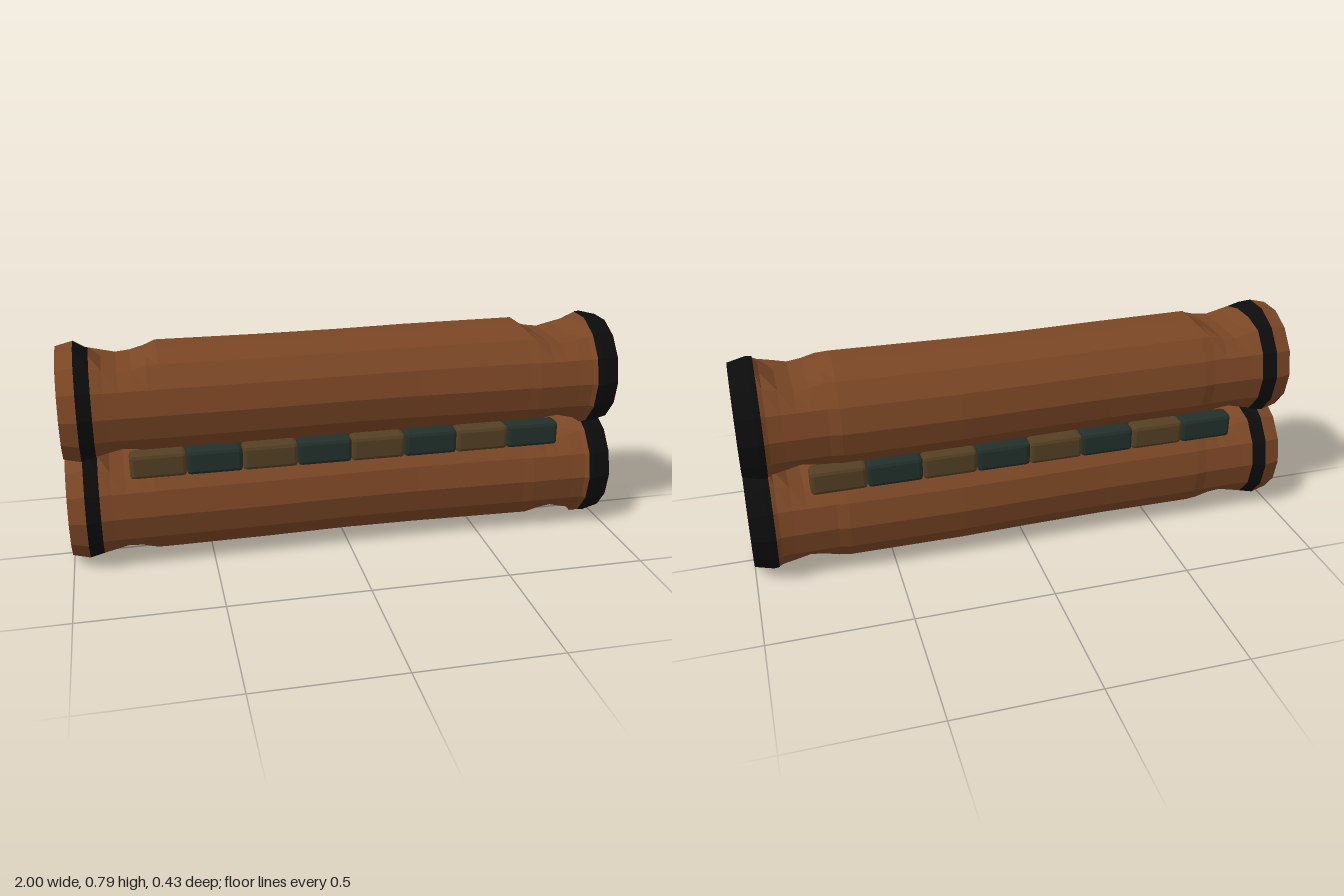
import * as THREE from 'three';
import { RoundedBoxGeometry } from 'three/addons/geometries/RoundedBoxGeometry.js';

const SIDES = 14;

// Tube along x from rings [x, radius, flat half height, z shift]; the flat height planes off top and bottom
function ringTube(rings, capStart, capEnd) {
  const pos = [], idx = [];
  for (const [x, r, h = 1, dz = 0] of rings) {
    for (let i = 0; i < SIDES; i++) {
      const a = (i / SIDES) * Math.PI * 2;
      pos.push(x, THREE.MathUtils.clamp(r * Math.sin(a), -h, h), r * Math.cos(a) + dz);
    }
  }
  for (let k = 0; k < rings.length - 1; k++) {
    for (let i = 0; i < SIDES; i++) {
      const a = k * SIDES + i, b = k * SIDES + (i + 1) % SIDES;
      idx.push(a, a + SIDES, b, b, a + SIDES, b + SIDES);
    }
  }
  const last = (rings.length - 1) * SIDES;
  for (let i = 1; i < SIDES - 1; i++) {
    if (capStart) idx.push(0, i, i + 1);
    if (capEnd) idx.push(last, last + i + 1, last + i);
  }
  const g = new THREE.BufferGeometry();
  g.setAttribute('position', new THREE.Float32BufferAttribute(pos, 3));
  g.setIndex(idx);
  // Make every face wind outwards
  const flat = g.toNonIndexed(), p = flat.attributes.position;
  const mid = (rings[0][0] + rings[rings.length - 1][0]) / 2;
  const [A, B, C, n, c] = Array.from({ length: 5 }, () => new THREE.Vector3());
  for (let i = 0; i < p.count; i += 3) {
    A.fromBufferAttribute(p, i); B.fromBufferAttribute(p, i + 1); C.fromBufferAttribute(p, i + 2);
    c.copy(A).add(B).add(C).divideScalar(3);
    n.copy(B).sub(A).cross(C.clone().sub(A));
    const isCap = Math.abs(A.x - B.x) + Math.abs(A.x - C.x) < 1e-6;
    const out = isCap ? n.x * (c.x - mid) : n.y * c.y + n.z * c.z;
    if (out < 0) { p.setXYZ(i + 1, C.x, C.y, C.z); p.setXYZ(i + 2, B.x, B.y, B.z); }
  }
  flat.computeVertexNormals();
  return flat;
}

export function createModel() {
  const mat = (name, color, flatShading = true) => {
    const m = new THREE.MeshStandardMaterial({ color, flatShading });
    m.name = name;
    return m;
  };
  const wood = mat('reddish wood', 0x7a4625);
  const black = mat('black band', 0x0c0c0c);
  const tan = mat('dull brown', 0x543f24);
  const green = mat('dark green', 0x22302a);

  const model = new THREE.Group();
  model.name = 'twinLogs';
  const add = (parent, name, geometry, material) => {
    const m = new THREE.Mesh(geometry, material);
    m.name = name;
    parent.add(m);
    return m;
  };

  // Log sections: notched top and bottom near both ends, slightly bowed in between
  const bodyRings = [
    [-0.89, 0.203, 0.18], [-0.85, 0.2, 0.15], [-0.8, 0.2, 0.138], [-0.75, 0.2, 0.143],
    [-0.7, 0.2, 0.168], [-0.66, 0.202, 0.21, -0.003], [-0.3, 0.2, 0.21, -0.003],
    [0, 0.199, 0.21, -0.01], [0.25, 0.202, 0.21, -0.013], [0.66, 0.205, 0.21, -0.006],
    [0.7, 0.203, 0.173], [0.75, 0.203, 0.145], [0.8, 0.203, 0.138],
    [0.85, 0.203, 0.15], [0.9, 0.205, 0.185], [0.92, 0.214, 0.21],
  ];

  for (const [name, y] of [['lowerLog', 0.212], ['upperLog', 0.583]]) {
    const log = new THREE.Group();
    log.name = name;
    log.position.y = y;
    model.add(log);
    add(log, 'body', ringTube(bodyRings), wood);
    add(log, 'leftBand', ringTube([[0.915, 0.214], [0.935, 0.216], [1, 0.2]]), black);
    add(log, 'rightBand', ringTube([[-0.94, 0.215], [-0.89, 0.203, 0.18]]), black);
    add(log, 'rightRim', ringTube([[-1, 0.2], [-0.94, 0.215]], true), wood);
    add(log, 'leftEndFace', ringTube([[0.98, 0.19], [0.9995, 0.2]], false, true), wood);
    // Dark heart of the log on each end
    for (const s of [-1, 1]) {
      const disc = add(log, 'core', new THREE.CylinderGeometry(0.075, 0.075, 0.004, 20), tan);
      disc.rotation.z = Math.PI / 2;
      disc.position.set(s * 0.999, 0.002, 0);
    }
  }

  // Strips of alternating blocks along the seam, front and back
  for (const side of [1, -1]) {
    const strip = new THREE.Group();
    strip.name = side > 0 ? 'frontStrip' : 'backStrip';
    strip.rotation.y = side > 0 ? 0 : Math.PI;
    model.add(strip);
    for (let i = 0; i < 8; i++) {
      const block = add(strip, 'block', new RoundedBoxGeometry(0.195, 0.09, 0.07, 1, 0.014), i % 2 ? green : tan);
      block.position.set(-0.683 + i * 0.195, 0.398, 0.161);
    }
  }
  return model;
}
